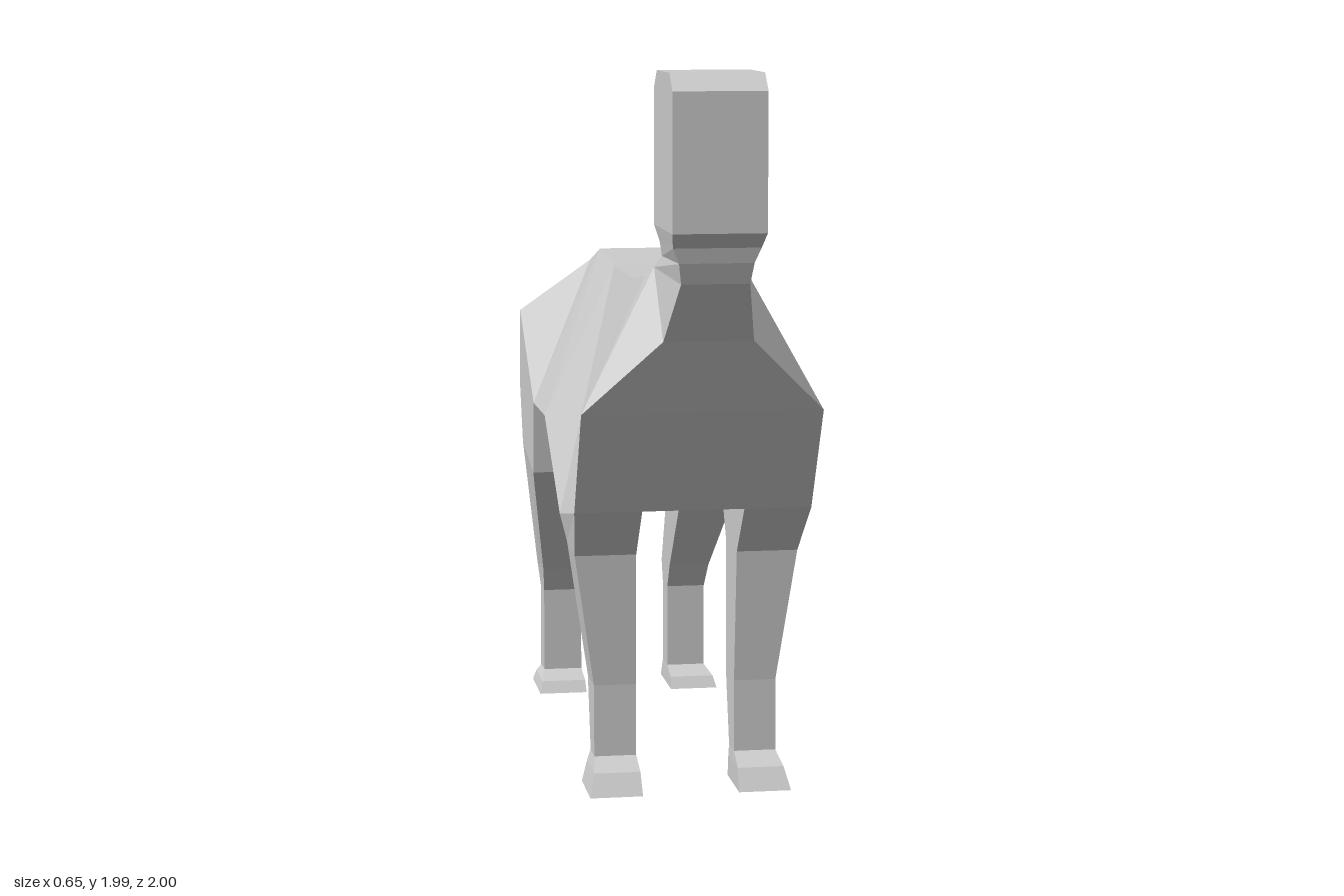
import * as THREE from 'three';

const fur = new THREE.MeshStandardMaterial({ color: 0xcccccc, flatShading: true });
fur.name = 'light grey';

// Flat-shaded mesh from a list of triangles (each three [x, y, z] corners)
function facetMesh(name, tris) {
  const pts = [];
  const t = new THREE.Triangle();
  for (const tri of tris) {
    t.set(...tri.map((p) => new THREE.Vector3(...p)));
    if (t.getArea() > 1e-6) pts.push(...tri.flat());
  }
  const geo = new THREE.BufferGeometry();
  geo.setAttribute('position', new THREE.Float32BufferAttribute(pts, 3));
  geo.computeVertexNormals();
  const mesh = new THREE.Mesh(geo, fur);
  mesh.name = name;
  return mesh;
}

const quad = (a, b, c, d) => [[a, b, c], [a, c, d]];

// Skin four-cornered rings; the last pair of sides uses the opposite diagonal for symmetry
function loft(rings, capStart = false, capEnd = false) {
  const tris = [];
  for (let k = 0; k < rings.length - 1; k++) {
    const a = rings[k], b = rings[k + 1];
    for (let i = 0; i < 4; i++) {
      const j = (i + 1) % 4;
      if (i === 3) tris.push(...quad(a[j], b[j], b[i], a[i]));
      else tris.push(...quad(a[i], a[j], b[j], b[i]));
    }
  }
  if (capStart) tris.push(...quad(...[...rings[0]].reverse()));
  if (capEnd) tris.push(...quad(...rings[rings.length - 1]));
  return tris;
}

// Body ring: upper pair then lower pair, given as [half width, y, z]
const bodyRing = ([[tx, ty, tz], [bx, by, bz]]) =>
  [[tx, ty, tz], [-tx, ty, tz], [-bx, by, bz], [bx, by, bz]];

// Leg ring: front [z, y], back [z, y], inner and outer x, on one side
function legRing([fz, fy, bz, by, xin, xout], side) {
  const hi = Math.max(side * xin, side * xout), lo = Math.min(side * xin, side * xout);
  return [[hi, fy, fz], [lo, fy, fz], [lo, by, bz], [hi, by, bz]];
}

export function createModel() {
  const model = new THREE.Group();
  model.name = 'animal';

  // Torso, from rump to chest
  const torso = [
    [[0.12, 1.365, -0.64], [0.325, 1.2, -0.755]],
    [[0.12, 1.42, -0.41], [0.325, 0.96, -0.39]],
    [[0.12, 1.4, -0.1], [0.325, 0.965, -0.1]],
    [[0.12, 1.4, 0.26], [0.325, 0.74, 0.26]],
    [[0.12, 1.43, 0.51], [0.325, 0.8, 0.59]],
    [[0.12, 1.47, 0.67], [0.325, 1.09, 0.745]],
  ];
  model.add(facetMesh('torso', loft(torso.map(bodyRing))));

  // Neck, rising from the chest
  const neck = [
    torso[5],
    [[0.12, 1.47, 0.67], [0.12, 1.29, 0.83]],
    [[0.12, 1.47, 0.67], [0.09, 1.45, 0.935]],
    [[0.108, 1.505, 0.73], [0.098, 1.505, 0.952]],
    [[0.115, 1.545, 0.735], [0.115, 1.545, 0.96]],
  ];
  model.add(facetMesh('neck', loft(neck.map(bodyRing))));

  // Tall head with bevelled ends
  const head = [
    neck[4],
    [[0.123, 1.585, 0.69], [0.123, 1.585, 1]],
    [[0.123, 1.945, 0.69], [0.123, 1.945, 1]],
    [[0.123, 1.99, 0.74], [0.123, 1.99, 0.95]],
  ];
  model.add(facetMesh('head', loft(head.map(bodyRing), false, true)));

  // Haunches: wedge between the rump and the hind legs
  const haunch = [
    [[0.325, 1.2, -0.755], [0.325, 0.96, -0.77]],
    [[0.325, 0.96, -0.39], [0.325, 0.96, -0.39]],
  ];
  model.add(facetMesh('haunches', loft(haunch.map(bodyRing), true)));

  // Rump panels and pointed tail
  const tip = [0, 1.22, -1];
  const top = (x) => [x, 1.365, -0.64];
  const low = (x) => [x, 1.2, -0.755];
  model.add(facetMesh('rump', [
    ...quad(top(0.12), low(0.325), low(0.14), top(0.05)),
    ...quad(top(-0.05), low(-0.14), low(-0.325), top(-0.12)),
  ]));
  model.add(facetMesh('tail', [
    [top(0.05), tip, top(-0.05)],
    [top(0.05), low(0.14), tip],
    [top(-0.05), tip, low(-0.14)],
    [low(0.14), low(-0.14), tip],
  ]));

  // Legs: front z, front y, back z, back y, inner x, outer x
  const frontLeg = [
    [0.59, 0.8, 0.26, 0.74, 0.14, 0.325],
    [0.475, 0.66, 0.3, 0.67, 0.14, 0.31],
    [0.45, 0.29, 0.32, 0.29, 0.138, 0.255],
    [0.455, 0.09, 0.375, 0.09, 0.138, 0.255],
    [0.525, 0.06, 0.375, 0.06, 0.136, 0.265],
    [0.56, 0, 0.375, 0, 0.134, 0.28],
  ];
  const hindLeg = [
    [-0.39, 0.96, -0.77, 0.96, 0.14, 0.325],
    [-0.41, 0.745, -0.7, 0.795, 0.14, 0.325],
    [-0.71, 0.385, -0.875, 0.375, 0.138, 0.262],
    [-0.755, 0.31, -0.85, 0.31, 0.138, 0.255],
    [-0.755, 0.055, -0.85, 0.05, 0.138, 0.255],
    [-0.675, 0.035, -0.855, 0.03, 0.136, 0.27],
    [-0.655, 0, -0.865, 0, 0.134, 0.28],
  ];
  for (const [side, label] of [[1, 'left'], [-1, 'right']]) {
    for (const [part, rows] of [['FrontLeg', frontLeg], ['HindLeg', hindLeg]]) {
      const rings = rows.map((r) => legRing(r, side));
      model.add(facetMesh(label + part, loft(rings, false, true)));
    }
  }
  return model;
}
